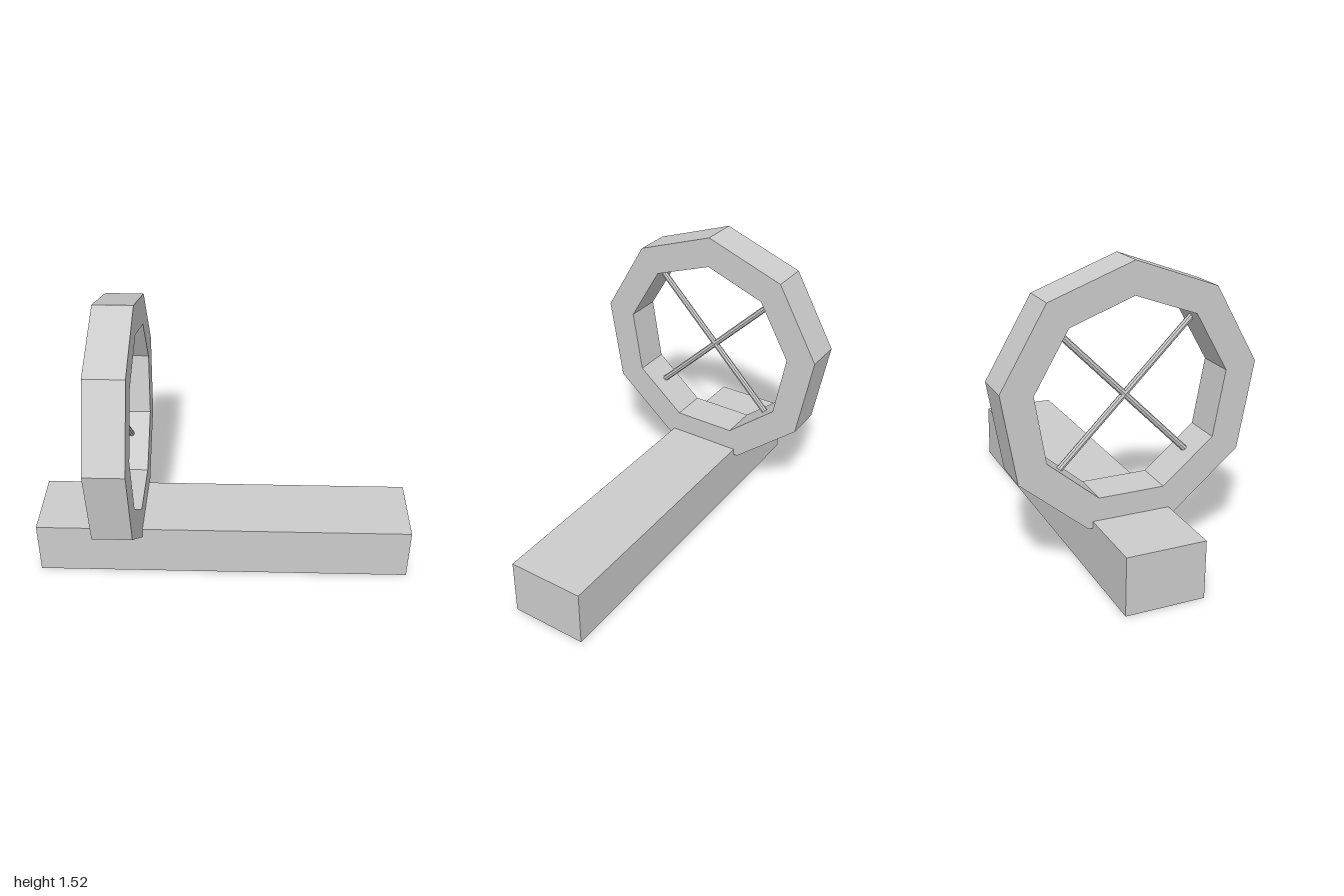
import * as THREE from 'three';

const material = new THREE.MeshStandardMaterial({ color: 0xcccccc, flatShading: true });

function part(name, geometry, parent) {
  const mesh = new THREE.Mesh(geometry, material);
  mesh.name = name;
  parent.add(mesh);
  return mesh;
}

// Regular polygon with one corner pointing up
function polygon(radius, sides) {
  return Array.from({ length: sides }, (_, i) => {
    const a = Math.PI / 2 + (i / sides) * Math.PI * 2;
    return new THREE.Vector2(Math.cos(a) * radius, Math.sin(a) * radius);
  });
}

export function createModel() {
  const model = new THREE.Group();
  model.name = 'wheelOnBeam';

  // Long base beam
  const beamHeight = 0.295;
  part('beam', new THREE.BoxGeometry(2, beamHeight, 0.4), model).position.y = beamHeight / 2;

  // Wheel standing across the beam, axis along x
  const wheel = new THREE.Group();
  wheel.name = 'wheel';
  wheel.position.set(-0.53, 0.873, 0);
  model.add(wheel);

  // Nine-sided rim
  const width = 0.2;
  const shape = new THREE.Shape(polygon(0.652, 9));
  shape.holes.push(new THREE.Path(polygon(0.492, 9)));
  const rim = new THREE.ExtrudeGeometry(shape, { depth: width, bevelEnabled: false });
  rim.translate(0, 0, -width / 2).rotateY(-Math.PI / 2);
  part('rim', rim, wheel);

  // Two crossed spokes, ends set into the rim
  for (const side of [-1, 1]) {
    const spoke = part('spoke', new THREE.CylinderGeometry(0.016, 0.016, 0.98, 8), wheel);
    spoke.rotation.x = side * Math.PI / 4;
  }

  return model;
}
